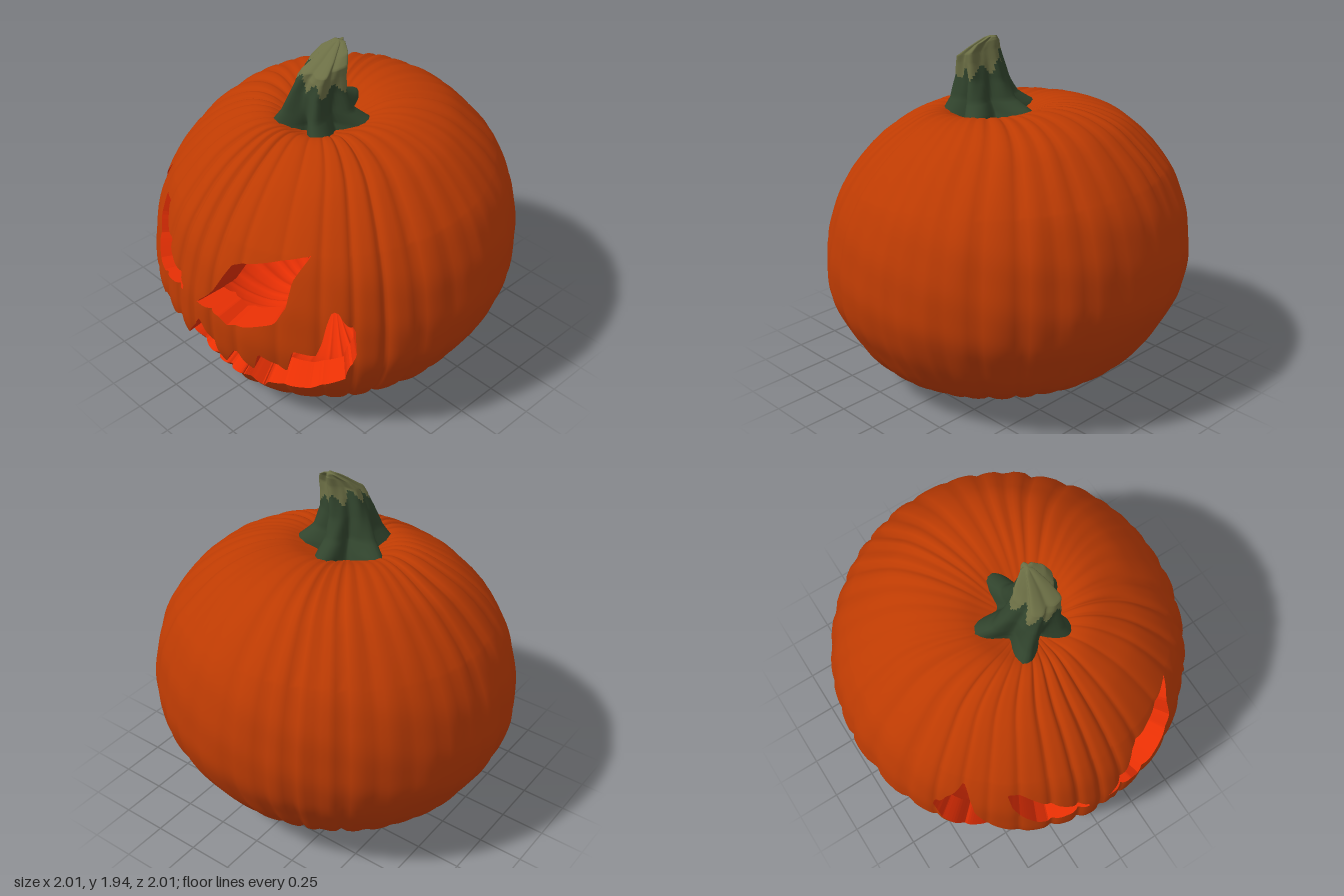
import * as THREE from 'three';
import { mergeVertices } from 'three/addons/utils/BufferGeometryUtils.js';

const V = (x, y, z = 0) => new THREE.Vector3(x, y, z);
const { clamp, lerp, smoothstep, degToRad } = THREE.MathUtils;
const MID = .74; // height of the widest part

// Cut-outs of the face, as x, y outlines seen from the front
const cutOuts = [
  // small slanted eye
  [[-.495, 1.09], [-.42, 1.06], [-.34, .97], [-.2, .855], [-.08, .77], [-.23, .75], [-.34, .73], [-.4, .77], [-.47, .87], [-.495, .97]],
  // large eye
  [[.01, .765], [.08, .83], [.14, .92], [.2, 1.05], [.3, 1.085], [.54, 1.175], [.505, 1.05], [.51, .92], [.465, .81], [.33, .75], [.225, .72], [.17, .75]],
  // mouth: upper lip from left to right, then lower lip back
  [[-.65, 1.13], [-.665, 1.02], [-.67, .89], [-.63, .76], [-.56, .67], [-.49, .61], [-.455, .475], [-.35, .58], [-.3, .49], [-.18, .55],
    [-.11, .465], [.03, .665], [.17, .425], [.25, .56], [.35, .465], [.395, .6], [.52, .515], [.56, .67], [.65, .655], [.67, .75], [.69, .92],
    [.715, .91], [.775, .8], [.785, .65], [.73, .47], [.57, .36], [.36, .33], [.29, .235], [.2, .325], [.16, .135], [-.04, .165], [-.23, .18],
    [-.39, .3], [-.42, .18], [-.48, .21], [-.51, .32], [-.6, .37], [-.71, .47], [-.81, .65], [-.825, .83], [-.76, .99]],
];

// Signed distance to one outline: negative inside
function outlineDistance(x, y, pts) {
  let best = Infinity, inside = false;
  for (let i = 0, j = pts.length - 1; i < pts.length; j = i++) {
    const [ax, ay] = pts[j], [bx, by] = pts[i];
    const ex = bx - ax, ey = by - ay;
    const t = clamp(((x - ax) * ex + (y - ay) * ey) / (ex * ex + ey * ey), 0, 1);
    best = Math.min(best, Math.hypot(x - ax - t * ex, y - ay - t * ey));
    if ((ay > y) !== (by > y) && x < ax + ex * (y - ay) / ey) inside = !inside;
  }
  return inside ? -best : best;
}

// Rind profile (radius, height) from the bottom dimple to the top dimple
const profile = new THREE.CatmullRomCurve3([
  [0, .125], [.13, .095], [.28, .053], [.46, .04], [.62, .095], [.77, .2], [.91, .4], [.98, .56], [1, .73], [.96, 1], [.86, 1.22],
  [.68, 1.42], [.56, 1.5], [.42, 1.55], [.3, 1.55], [.2, 1.51], [.1, 1.47], [0, 1.45],
].map(([r, y]) => V(r, y)));

// Point on the ribbed rind for an angle around the axis and a profile point
function rindPoint(angle, p) {
  const warped = angle + .05 * Math.sin(3 * angle + 1) + .03 * Math.sin(7 * angle);
  const rib = Math.abs(Math.sin(warped * 18));
  const depth = .018 + .008 * Math.sin(5 * angle + 2);
  const fade = smoothstep(p.x, .03, .45);
  const bump = .003 * Math.sin(9 * p.y + 11 * angle) * Math.sin(17 * p.y - 5 * angle);
  const swell = 1.003 + fade * (bump - depth * Math.pow(1 - rib, 2));
  const top = p.y > 1 ? 1 : 0;
  const shift = top * (1 - smoothstep(p.x, .1, .65));
  const tilt = .075 + .02 * top * (1 - smoothstep(p.x, .45, .75));
  const r = p.x * swell, z = r * Math.cos(angle);
  return V(r * Math.sin(angle) + .02 * shift, MID + (p.y - MID) * swell - tilt * z, z + .1 * shift);
}

function geometryFrom(points, smooth) {
  const flat = new Float32Array(points.length * 3);
  points.forEach((p, i) => p.toArray(flat, i * 3));
  let g = new THREE.BufferGeometry();
  g.setAttribute('position', new THREE.BufferAttribute(flat, 3));
  if (smooth) g = mergeVertices(g, 1e-5);
  g.computeVertexNormals();
  return g;
}

// Hollow rind: outer skin and inner lining trimmed along the cut-outs, with cut walls between
function buildRind() {
  const front = degToRad(65), angles = [], steps = [];
  for (let i = 0; i < 170; i++) angles.push(-front + 2 * front * i / 170);
  for (let i = 0; i < 105; i++) angles.push(front + (2 * Math.PI - 2 * front) * i / 105);
  for (let s = 0; s < 17; s++) {
    const n = s >= 4 && s < 10 ? 12 : 3;
    for (let k = 0; k < n; k++) steps.push((s + k / n) / 17);
  }
  steps.push(1);

  const centre = V(0, MID, 0);
  const rows = steps.map(t => {
    const p = profile.getPoint(t);
    p.x = Math.max(p.x, 0);
    return angles.map((a, i) => {
      const outer = rindPoint(a, p);
      // the wall is a little thicker around the face
      const inner = outer.clone().lerp(centre, .13 + .05 * smoothstep(outer.z, .55, 1));
      const d = i > 170 ? 1 : Math.min(...cutOuts.map(c => outlineDistance(outer.x, outer.y, c)));
      return { outer, inner, d: outer.y > 1.3 || outer.y < .08 ? 1 : d };
    });
  });

  const skin = [], lining = [], walls = [];
  const trim = tri => {
    const kept = [], cuts = [];
    tri.forEach((a, k) => {
      const b = tri[(k + 1) % 3];
      if (a.d > 0) kept.push(a);
      if ((a.d > 0) !== (b.d > 0)) {
        const t = a.d / (a.d - b.d);
        const c = { outer: a.outer.clone().lerp(b.outer, t), inner: a.inner.clone().lerp(b.inner, t) };
        kept.push(c);
        cuts.push(c);
      }
    });
    for (let k = 1; k + 1 < kept.length; k++) {
      const [a, b, c] = [kept[0], kept[k], kept[k + 1]];
      skin.push(a.outer, b.outer, c.outer);
      lining.push(a.inner, c.inner, b.inner);
    }
    if (cuts.length === 2) {
      const [a, b] = cuts;
      walls.push(a.outer, a.inner, b.inner, a.outer, b.inner, b.outer);
    }
  };
  for (let j = 0; j + 1 < rows.length; j++) {
    for (let i = 0; i < angles.length; i++) {
      const n = (i + 1) % angles.length;
      const [a, b, c, d] = [rows[j][i], rows[j][n], rows[j + 1][n], rows[j + 1][i]];
      trim([a, b, c]);
      trim([a, c, d]);
    }
  }
  return { skin, lining, walls };
}

// Stem: lobed rings that flare at the foot and taper to a bent, slanted tip
function buildStem() {
  // columns: centre x, height, centre z, radius, lobe depth, slant
  const rings = [
    [.02, 1.46, .1, .23, .4, .13], [.02, 1.52, .11, .195, .4, .13], [.025, 1.59, .135, .152, .28, .08], [.035, 1.7, .145, .128, .16, .05],
    [.055, 1.79, .145, .113, .14, .15], [.07, 1.84, .14, .102, .18, .3], [.075, 1.89, .1, .072, .24, .4], [.075, 1.935, .05, .03, .25, .2],
    [.075, 1.945, .045, 0, 0, 0],
  ];
  const sides = 72, sub = 6, grid = [];
  for (let s = 0; s <= (rings.length - 1) * sub; s++) {
    const k = Math.min(Math.floor(s / sub), rings.length - 2), t = s / sub - k;
    const [cx, y, cz, r, lobe, slant] = rings[k].map((v, c) => lerp(v, rings[k + 1][c], t));
    grid.push(Array.from({ length: sides }, (_, i) => {
      const a = i / sides * 2 * Math.PI;
      const rr = r * (1 + lobe * Math.cos(5 * (a + .4)) + .04 * Math.sin(11 * a + 14 * y));
      const dz = rr * Math.sin(a);
      return V(cx + rr * Math.cos(a), y - slant * dz, cz + dz);
    }));
  }
  // dry patch reaches lower on one side
  const green = [], dry = [];
  for (let j = 0; j + 1 < grid.length; j++) {
    for (let i = 0; i < sides; i++) {
      const n = (i + 1) % sides, a = i / sides * 2 * Math.PI;
      const edge = 1.765 - .045 * Math.cos(a - .4) + .035 * Math.sin(7 * a + 1);
      const [p, q, r, s] = [grid[j][i], grid[j][n], grid[j + 1][n], grid[j + 1][i]];
      (p.y > edge ? dry : green).push(p, r, q, p, s, r);
    }
  }
  return { green, dry };
}

export function createModel() {
  const material = (name, color, side = THREE.FrontSide) => {
    const m = new THREE.MeshStandardMaterial({ color, side });
    m.name = name;
    return m;
  };
  const orange = material('orange skin', 0xbd3b03);
  const flesh = material('red orange flesh', 0xea3004, THREE.DoubleSide);
  const stemGreen = material('dark green', 0x31442d);
  const olive = material('dry olive', 0x6c6f45);

  const model = new THREE.Group();
  model.name = 'carvedPumpkin';
  const add = (name, points, mat, smooth = true) => {
    const mesh = new THREE.Mesh(geometryFrom(points, smooth), mat);
    mesh.name = name;
    model.add(mesh);
  };
  const rind = buildRind(), stem = buildStem();
  add('skin', rind.skin, orange);
  add('innerLining', rind.lining, flesh);
  add('cutWalls', rind.walls, flesh, false);
  add('stem', stem.green, stemGreen);
  add('stemTip', stem.dry, olive);
  return model;
}
